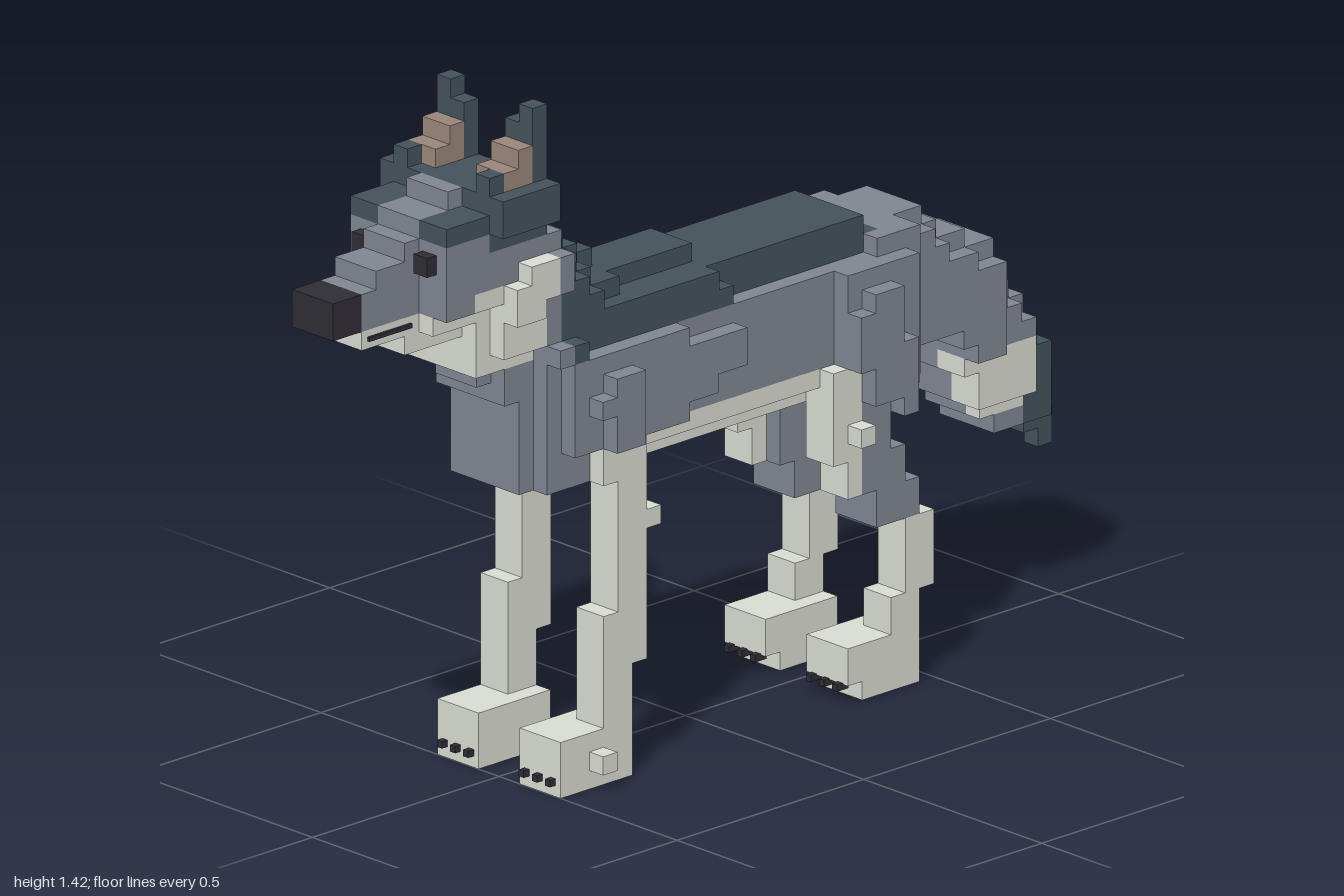
import * as THREE from 'three';

const V = 2 / 52; // block size
const mat = (name, color) => Object.assign(new THREE.MeshStandardMaterial({ color }), { name });
const MATS = {
  dark: mat('dark slate fur', 0x44525a),
  gray: mat('gray fur', 0x7f8691),
  cream: mat('cream fur', 0xd8dcd1),
  black: mat('black', 0x2f2d35),
  brown: mat('inner ear brown', 0x998679),
};

// Six face directions with their corners, counter-clockwise from outside
const FACES = [
  [[1, 0, 0], [1, 0, 1], [1, 0, 0], [1, 1, 0], [1, 1, 1]],
  [[-1, 0, 0], [0, 0, 0], [0, 0, 1], [0, 1, 1], [0, 1, 0]],
  [[0, 1, 0], [0, 1, 1], [1, 1, 1], [1, 1, 0], [0, 1, 0]],
  [[0, -1, 0], [0, 0, 0], [1, 0, 0], [1, 0, 1], [0, 0, 1]],
  [[0, 0, 1], [0, 0, 1], [1, 0, 1], [1, 1, 1], [0, 1, 1]],
  [[0, 0, -1], [1, 0, 0], [0, 0, 0], [0, 1, 0], [1, 1, 0]],
];

export function createModel() {
  const model = new THREE.Group();
  model.name = 'wolf';
  const cells = new Map();
  const key = (i, j, k) => `${i},${j},${k}`;

  // Fill blocks: columns i0..i1, rows j0..j1 (ends excluded), depth k0..k1 (included)
  const fill = (part, color, i0, i1, j0, j1, k0, k1) => {
    for (let i = i0; i < i1; i++)
      for (let j = j0; j < j1; j++)
        for (let k = k0; k <= k1; k++) cells.set(key(i, j, k), { part, color, p: [i, j, k] });
  };
  const mid = (part, color, i0, i1, j0, j1, w) => fill(part, color, i0, i1, j0, j1, -w, w);
  const pair = (part, color, i0, i1, j0, j1, k0, k1) => {
    fill(part, color, i0, i1, j0, j1, k0, k1);
    fill(part, color, i0, i1, j0, j1, -k1, -k0);
  };

  // Torso
  mid('torso', 'gray', 14, 39, 18, 23, 3);
  pair('torso', 'gray', 14, 22, 18, 23, 4, 4);
  pair('torso', 'gray', 22, 24, 19, 22, 4, 4);
  pair('torso', 'gray', 24, 26, 20, 22, 4, 4);
  mid('torso', 'gray', 36, 39, 23, 24, 3);
  mid('torso', 'gray', 34, 39, 16, 18, 2);
  mid('torso', 'gray', 13, 16, 16, 23, 3);
  mid('torso', 'gray', 12, 13, 16, 21, 2);
  mid('torso', 'gray', 11, 13, 21, 23, 2);
  mid('torso', 'gray', 10, 11, 22, 23, 1);
  pair('torso', 'gray', 15, 16, 20, 21, 5, 5);
  pair('torso', 'gray', 16, 18, 18, 22, 5, 5);
  mid('belly', 'cream', 16, 34, 17, 18, 3);
  mid('belly', 'cream', 18, 32, 16, 17, 2);

  // Neck, throat and stepped mane
  mid('throat', 'cream', 9, 13, 23, 27, 2);
  pair('throat', 'cream', 10, 13, 24, 28, 3, 3);
  mid('neck', 'gray', 13, 14, 23, 30, 3);
  mid('neck', 'gray', 13, 14, 30, 31, 1);
  pair('neck', 'gray', 13, 14, 23, 24, 4, 4);
  pair('neck', 'gray', 13, 14, 27, 29, 4, 4);
  pair('mane', 'dark', 13, 14, 30, 31, 2, 2);
  pair('mane', 'dark', 14, 15, 23, 24, 4, 4);
  mid('mane', 'dark', 14, 26, 23, 24, 3);
  mid('mane', 'dark', 26, 37, 23, 24, 2);
  mid('mane', 'dark', 14, 25, 24, 25, 3);
  mid('mane', 'dark', 25, 36, 24, 25, 2);
  mid('mane', 'dark', 14, 25, 25, 26, 1);
  mid('mane', 'dark', 14, 19, 25, 26, 2);
  [[14, 30, 2], [15, 29, 2], [16, 28, 2], [17, 27, 1], [18, 27, 1]].forEach(([i, top, w]) => {
    mid('mane', 'dark', i, i + 1, 25, top - 1, w);
    mid('mane', 'dark', i, i + 1, top - 1, top, w - 1);
  });
  pair('mane', 'dark', 14, 15, 25, 28, 3, 3);
  pair('mane', 'dark', 15, 16, 25, 27, 3, 3);
  pair('mane', 'dark', 16, 17, 25, 26, 3, 3);

  // Head and muzzle
  mid('head', 'gray', 6, 13, 27, 31, 3);
  mid('head', 'gray', 5, 6, 27, 31, 1);
  mid('head', 'gray', 6, 9, 31, 32, 1);
  mid('head', 'gray', 8, 9, 32, 33, 1);
  pair('head', 'dark', 6, 9, 31, 32, 2, 3);
  mid('head', 'dark', 9, 13, 31, 33, 4);
  pair('head', 'dark', 9, 13, 30, 31, 3, 3);
  pair('cheek', 'cream', 10, 12, 26, 28, 4, 4);
  pair('cheek', 'cream', 11, 13, 27, 29, 4, 4);
  pair('cheek', 'cream', 8, 10, 27, 28, 3, 3);
  mid('muzzle', 'gray', 2, 5, 27, 29, 1);
  mid('muzzle', 'gray', 3, 5, 29, 30, 1);
  mid('jaw', 'cream', 2, 9, 26, 27, 1);
  mid('jaw', 'cream', 5, 9, 25, 26, 1);
  pair('jaw', 'cream', 6, 9, 26, 27, 2, 2);
  mid('nose', 'black', 0, 2, 27, 29, 1);

  // Ears
  pair('ear', 'dark', 9, 10, 33, 34, 3, 3);
  pair('ear', 'dark', 12, 13, 33, 36, 2, 3);
  pair('ear', 'dark', 12, 13, 36, 37, 3, 3);
  pair('ear', 'brown', 10, 12, 33, 34, 2, 3);
  pair('ear', 'brown', 11, 12, 34, 35, 2, 3);

  // Front legs
  pair('frontLeg', 'cream', 16, 19, 16, 18, 3, 4);
  pair('frontLeg', 'cream', 17, 19, 6, 16, 3, 4);
  pair('frontLeg', 'cream', 16, 18, 3, 9, 3, 4);
  pair('frontLeg', 'cream', 19, 20, 13, 14, 4, 4);
  pair('frontPaw', 'cream', 13, 18, 0, 3, 2, 4);
  pair('frontPaw', 'cream', 15, 16, 1, 2, 5, 5);

  // Hind legs
  pair('hindLeg', 'gray', 33, 38, 16, 23, 4, 4);
  pair('hindLeg', 'gray', 33, 39, 16, 19, 3, 3);
  pair('hindLeg', 'gray', 33, 34, 18, 21, 5, 5);
  pair('hindLeg', 'gray', 34, 36, 16, 22, 5, 5);
  pair('hindLeg', 'gray', 36, 37, 15, 19, 5, 5);
  pair('hindLeg', 'gray', 34, 36, 13, 16, 2, 4);
  pair('hindLeg', 'gray', 36, 37, 15, 16, 2, 4);
  pair('hindLeg', 'gray', 34, 37, 11, 13, 2, 4);
  pair('hindLeg', 'gray', 35, 38, 9, 11, 2, 4);
  pair('hindLeg', 'cream', 32, 34, 13, 18, 3, 4);
  pair('hindLeg', 'cream', 33, 34, 11, 13, 3, 4);
  pair('hindLeg', 'cream', 33, 34, 14, 15, 5, 5);
  pair('hindLeg', 'cream', 37, 39, 5, 9, 3, 4);
  pair('hindLeg', 'cream', 36, 38, 3, 5, 3, 4);
  pair('hindPaw', 'cream', 33, 38, 1, 3, 2, 4);
  pair('hindPaw', 'cream', 34, 38, 0, 1, 2, 4);

  // Tail slices: column, bottom, top, depth range; the underside is cream on the left only
  [[39, 17, 24, -3, 2], [40, 17, 24, -3, 2], [41, 17, 23, -3, 2], [42, 17, 22, -3, 2], [43, 16, 22, -3, 2],
    [44, 14, 21, -3, 2], [45, 12, 21, -3, 2], [46, 11, 20, -3, 1], [47, 10, 18, -3, 1],
    [48, 10, 17, -3, 1]].forEach(([i, lo, hi, k0, k1]) => {
    fill('tail', 'gray', i, i + 1, Math.max(lo, 15), hi - 1, k0, k1);
    fill('tail', 'gray', i, i + 1, hi - 1, hi, k0 + 1, k1 - 1);
    fill('tail', 'gray', i, i + 1, lo, 15, -3, -1);
    fill('tail', 'gray', i, i + 1, lo, 11, 0, 0);
    fill('tail', 'cream', i, i + 1, Math.max(lo, 11), 15, 0, 0);
    fill('tail', 'cream', i, i + 1, Math.max(lo, 12), 15, 1, 1);
  });
  fill('tailTip', 'dark', 49, 50, 11, 15, -3, 0);
  fill('tailTip', 'dark', 50, 51, 11, 14, -3, 0);
  fill('tailTip', 'dark', 49, 51, 10, 11, -2, 0);
  fill('tailTip', 'dark', 50, 51, 9, 10, -1, -1);
  fill('tailTip', 'dark', 51, 52, 8, 10, -1, -1);

  // Turn the blocks into one faceted skin per part and colour
  const skins = new Map();
  for (const { part, color, p } of cells.values()) {
    const id = `${part} ${color}`;
    if (!skins.has(id)) skins.set(id, { part, color, pos: [], nor: [] });
    const s = skins.get(id);
    for (const [n, ...c] of FACES) {
      if (cells.has(key(p[0] + n[0], p[1] + n[1], p[2] + n[2]))) continue;
      for (const q of [0, 1, 2, 0, 2, 3]) {
        s.pos.push((p[0] + c[q][0] - 26) * V, (p[1] + c[q][1]) * V, (p[2] + c[q][2] - 0.5) * V);
        s.nor.push(...n);
      }
    }
  }
  for (const { part, color, pos, nor } of skins.values()) {
    const g = new THREE.BufferGeometry();
    g.setAttribute('position', new THREE.Float32BufferAttribute(pos, 3));
    g.setAttribute('normal', new THREE.Float32BufferAttribute(nor, 3));
    const m = new THREE.Mesh(g, MATS[color]);
    m.name = part;
    model.add(m);
  }

  // Small black details: eyes, mouth line, claws
  const detail = (name, w, h, d, x, y, z) => {
    const m = new THREE.Mesh(new THREE.BoxGeometry(w, h, d), MATS.black);
    m.name = name;
    m.position.set(x, y, z);
    model.add(m);
  };
  for (const s of [-1, 1]) {
    detail('eye', 0.026, 0.04, 0.038, -0.781, 1.15, s * 0.087);
    detail('mouth', 0.115, 0.009, 0.009, -0.85, 1.02, s * 0.059);
    for (const z of [0.078, 0.115, 0.152]) {
      detail('frontClaw', 0.02, 0.014, 0.014, -0.505, 0.03, s * z);
      detail('hindClaw', 0.03, 0.014, 0.014, 0.269, 0.034, s * z);
    }
  }
  return model;
}
